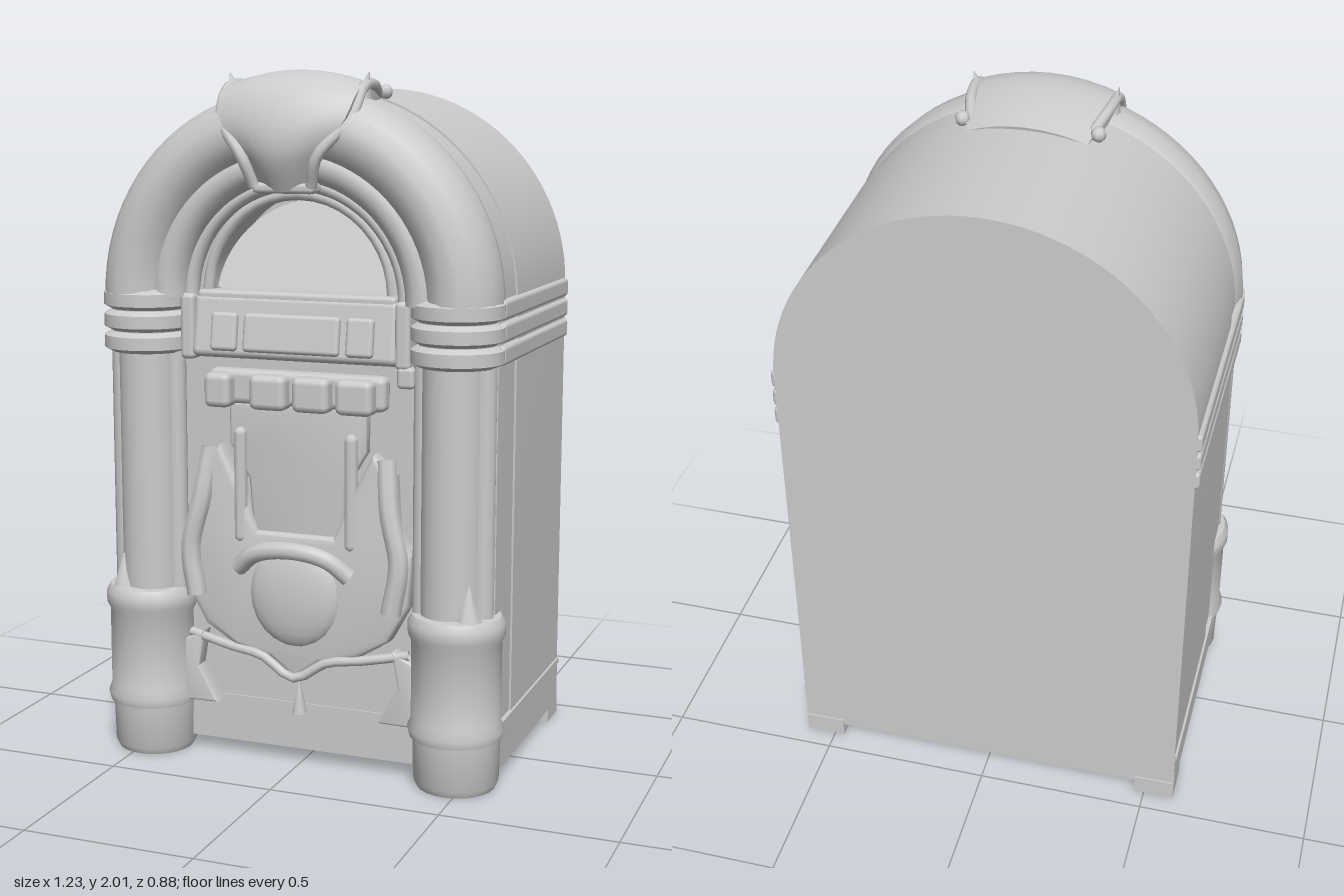
import * as THREE from 'three';
import { RoundedBoxGeometry } from 'three/addons/geometries/RoundedBoxGeometry.js';
import { toCreasedNormals } from 'three/addons/utils/BufferGeometryUtils.js';

const SPRING = 1.37; // height where the arch starts

export function createModel() {
  const root = new THREE.Group();
  const mat = new THREE.MeshStandardMaterial({ color: 0xcccccc, side: THREE.DoubleSide });

  const add = (name, geo, x = 0, y = 0, z = 0) => {
    const m = new THREE.Mesh(geo, mat);
    m.name = name;
    m.position.set(x, y, z);
    root.add(m);
    return m;
  };
  const box = (name, w, h, d, x, y, z, r = 0) =>
    add(name, r ? new RoundedBoxGeometry(w, h, d, 2, r) : new THREE.BoxGeometry(w, h, d), x, y, z);
  const extrude = (shape, depth, bevel = 0) => toCreasedNormals(new THREE.ExtrudeGeometry(shape, {
    depth, curveSegments: 24, bevelEnabled: bevel > 0, bevelSize: bevel, bevelThickness: bevel, bevelSegments: 3,
  }), 0.6);
  const lathe = (pts) => toCreasedNormals(
    new THREE.LatheGeometry(pts.map(([r, y]) => new THREE.Vector2(r, y)), 24), 0.7);
  const tube = (pts, r) => new THREE.TubeGeometry(
    new THREE.CatmullRomCurve3(pts.map((p) => new THREE.Vector3(...p))), 20, r, 8);
  const poly = (pts) => new THREE.Shape(pts.map(([x, y]) => new THREE.Vector2(x, y)));
  // Outline given for the +x half from bottom to top, mirrored to the other side
  const mirrored = (half) => poly([...half, ...half.map(([x, y]) => [-x, y]).reverse()]);

  // Cabinet with a rounded top
  const outline = (r, bottom) => {
    const s = new THREE.Shape();
    s.moveTo(-r, bottom);
    s.lineTo(r, bottom);
    s.lineTo(r, SPRING);
    s.absarc(0, SPRING, r, 0, Math.PI, false);
    s.closePath();
    return s;
  };
  add('cabinet', extrude(outline(0.588, 0.1), 0.54), 0, 0, -0.44);

  // Front frame with the arched window cut out
  const front = outline(0.582, 0.1);
  const hole = new THREE.Path();
  hole.moveTo(-0.28, 1.385);
  hole.lineTo(0.28, 1.385);
  hole.absellipse(0, 1.385, 0.28, 0.28, 0, Math.PI, false);
  front.holes.push(hole);
  add('frontFrame', extrude(front, 0.16), 0, 0, 0.1);

  // Sloping card inside the window
  const card = new THREE.Shape();
  card.absarc(0, 0, 0.275, 0, Math.PI, false);
  card.closePath();
  add('windowCard', new THREE.ShapeGeometry(card, 20), 0, 1.39, 0.22).rotation.x = -0.4;

  // Window rim
  const rim = [[-0.28, 1.385, 0.27]];
  for (let i = 1; i <= 12; i++) {
    const a = Math.PI * (1 - i / 12);
    rim.push([0.28 * Math.cos(a), 1.385 + 0.28 * Math.sin(a), 0.27]);
  }
  add('windowRim', tube(rim, 0.018));
  box('windowSill', 0.6, 0.03, 0.06, 0, 1.375, 0.28, 0.012);

  // Tubular arches
  const arch = (name, R, r, z, depthScale) => {
    add(name, new THREE.TorusGeometry(R, r, 14, 40, Math.PI), 0, SPRING, z).scale.z = depthScale;
  };
  arch('outerArch', 0.487, 0.108, 0.27, 1.25);
  arch('innerArch', 0.385, 0.055, 0.3, 1.2);
  arch('archTrim', 0.325, 0.022, 0.29, 1.2);

  // Plinth and back feet
  box('plinth', 1.18, 0.13, 0.7, 0, 0.105, -0.085);
  box('plinthLip', 1.19, 0.015, 0.7, 0, 0.172, -0.085);

  for (const s of [-1, 1]) {
    const cx = s * 0.475;
    box('backFoot', 0.12, 0.06, 0.11, s * 0.53, 0.03, -0.385);

    // Front foot and column sleeve
    add('frontFoot', lathe([[0, 0], [0.112, 0], [0.122, 0.02], [0.126, 0.17], [0, 0.17]]), cx, 0, 0.265);
    add('columnSleeve', lathe([[0, 0.15], [0.132, 0.15], [0.138, 0.175], [0.128, 0.2], [0.128, 0.43],
      [0.138, 0.45], [0.138, 0.485], [0.126, 0.505], [0.09, 0.51], [0, 0.51]]), cx, 0, 0.272);

    // Column with slim side tubes
    add('column', new THREE.CylinderGeometry(0.09, 0.09, 0.74, 20), s * 0.465, 0.86, 0.285);
    add('outerColumnTube', new THREE.CylinderGeometry(0.035, 0.035, 0.74, 12), s * 0.55, 0.86, 0.285);
    add('innerColumnTube', new THREE.CylinderGeometry(0.03, 0.03, 0.74, 12), s * 0.38, 0.86, 0.29);
    add('columnTip', new THREE.ConeGeometry(0.04, 0.12, 8), s * 0.53, 0.56, 0.34);

    // Triple collar and the side bands that continue it
    const collar = [[0, 1.205]];
    for (let i = 0; i < 3; i++) {
      const y = 1.205 + i * 0.062;
      collar.push([0.108, y], [0.13, y + 0.012], [0.13, y + 0.048], [0.108, y + 0.06]);
    }
    collar.push([0, 1.391]);
    add('columnCollar', lathe(collar), s * 0.47, 0, 0.277);
    for (let i = 0; i < 3; i++) {
      box('sideBand', 0.06, 0.055, 0.7, s * 0.57, 1.236 + i * 0.062, -0.09, 0.012);
    }
    box('archPost', 0.045, 0.19, 0.09, s * 0.325, 1.285, 0.285, 0.015);

    // Ornaments of the lower front
    add('shieldWing', tube([[s * 0.3, 0.5, 0.335], [s * 0.32, 0.64, 0.33], [s * 0.29, 0.78, 0.32], [s * 0.27, 0.93, 0.29]], 0.03));
    add('cornerLeaf', extrude(poly([[s * 0.26, 0.17], [s * 0.36, 0.17], [s * 0.36, 0.34], [s * 0.3, 0.37], [s * 0.32, 0.27]]), 0.04, 0.008), 0, 0, 0.26);
    add('shieldFlute', new THREE.CapsuleGeometry(0.02, 0.3, 4, 8), s * 0.17, 0.83, 0.305);
  }

  // Selector panel with raised title plates
  box('selectorPanel', 0.62, 0.18, 0.09, 0, 1.285, 0.28, 0.02).rotation.x = -0.15;
  box('titlePlate', 0.29, 0.11, 0.04, 0, 1.275, 0.325, 0.012).rotation.x = -0.15;
  for (const s of [-1, 1]) box('sideTitlePlate', 0.08, 0.11, 0.04, s * 0.205, 1.275, 0.325, 0.012).rotation.x = -0.15;

  // Row of keys
  box('keyShelf', 0.54, 0.1, 0.06, 0, 1.115, 0.28, 0.02);
  for (const [x, w] of [[-0.225, 0.08], [-0.07, 0.11], [0.06, 0.11], [0.19, 0.11]]) {
    box('key', w, 0.1, 0.08, x, 1.108, 0.315, 0.02);
  }
  box('coinSlot', 0.05, 0.06, 0.06, 0.335, 1.17, 0.3, 0.012);

  // Speaker shield
  add('speakerShield', extrude(mirrored([[0, 0.29], [0.07, 0.34], [0.18, 0.365], [0.27, 0.42], [0.325, 0.52],
    [0.335, 0.66], [0.29, 0.72], [0.28, 0.88], [0.24, 0.92], [0.2, 0.84], [0.13, 0.68]]), 0.04, 0.018), 0, 0, 0.26);
  add('speakerPanel', extrude(mirrored([[0.12, 0.6], [0.14, 0.85], [0.2, 0.95], [0.2, 1.06]]), 0.03, 0.01), 0, 0, 0.255);

  // Medallion bowl and the curved hood above it
  const bowl = add('medallion', new THREE.SphereGeometry(0.14, 20, 12), 0, 0.52, 0.31);
  bowl.scale.set(1, 1.1, 0.3);
  add('medallionHood', tube([[-0.17, 0.59, 0.325], [-0.11, 0.64, 0.345], [0, 0.66, 0.355], [0.11, 0.64, 0.345], [0.17, 0.59, 0.325]], 0.026));

  // Scalloped skirt edge and centre drop
  add('skirtTrim', tube([[-0.34, 0.37, 0.29], [-0.2, 0.345, 0.31], [-0.1, 0.33, 0.32], [0, 0.275, 0.325],
    [0.1, 0.33, 0.32], [0.2, 0.345, 0.31], [0.34, 0.37, 0.29]], 0.014));
  add('centreDrop', new THREE.ConeGeometry(0.022, 0.12, 8), 0, 0.215, 0.28);

  // Crest folded over the top of the arch: path of [y, z, half width]
  const path = [[1.955, 0.04, 0.17], [1.985, 0.17, 0.19], [1.99, 0.29, 0.2], [1.95, 0.375, 0.2], [1.87, 0.42, 0.18],
    [1.79, 0.43, 0.12], [1.74, 0.415, 0.095], [1.68, 0.385, 0.08]];
  const spine = new THREE.CatmullRomCurve3(path.map(([y, z, w]) => new THREE.Vector3(w, y, z)));
  const crest = new THREE.BoxGeometry(1, 1, 1, 8, 1, 20);
  const pos = crest.attributes.position;
  for (let i = 0; i < pos.count; i++) {
    const t = pos.getZ(i) + 0.5;
    const u = pos.getX(i) * 2;
    const p = spine.getPoint(t);
    const d = spine.getTangent(t);
    const len = Math.hypot(d.y, d.z);
    const lift = pos.getY(i) > 0 ? 0.012 - 0.035 * u * u : -0.09;
    pos.setXYZ(i, u * p.x, p.y + (lift * d.z) / len, p.z - (lift * d.y) / len);
  }
  add('crest', toCreasedNormals(crest, 0.7));

  // Crest horns and bottom lip
  for (const s of [-1, 1]) {
    add('crestRidge', tube([[s * 0.17, 1.94, 0.1], [s * 0.195, 1.965, 0.2], [s * 0.2, 1.955, 0.3], [s * 0.19, 1.87, 0.37], [s * 0.11, 1.77, 0.415], [s * 0.085, 1.69, 0.39]], 0.016));
    const horn = add('crestHorn', new THREE.ConeGeometry(0.03, 0.09, 8), s * 0.197, 1.958, 0.27);
    horn.rotation.z = -s * 0.25;
    add('crestKnob', new THREE.SphereGeometry(0.022, 8, 6), s * 0.19, 1.945, 0.09);
  }
  box('crestLip', 0.18, 0.03, 0.07, 0, 1.685, 0.36, 0.012);

  return root;
}
